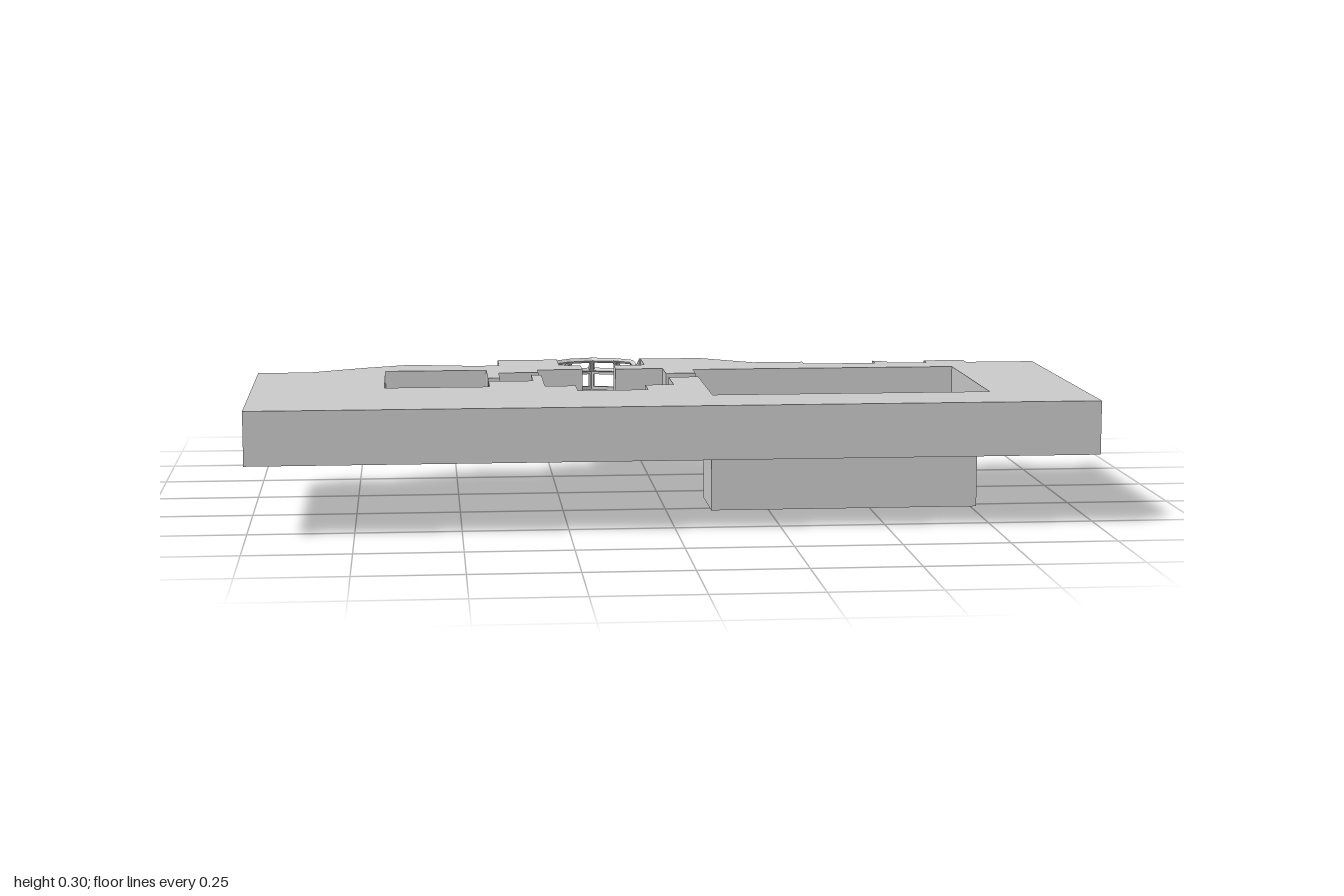
import * as THREE from 'three';

const mat = new THREE.MeshStandardMaterial({ color: 0xcccccc, flatShading: true, side: THREE.DoubleSide });

// ---- plan data, [x, z] ----
// Outer edge of the ground block, from the corridor mouth's left side round to its right side
const outerEdge = [
  [0.02, -0.31], [0.14, -0.31], [0.27, -0.21], [0.4, -0.21], [0.4, -0.17], [0.585, -0.17],
  [0.585, -0.215], [0.62, -0.195], [0.62, -0.17], [0.72, -0.17], [0.72, -0.21], [0.825, -0.21],
  [0.825, -0.17], [1, -0.17], [1, 0.57], [-1, 0.57], [-1, -0.105], [-0.87, -0.105],
  [-0.74, -0.18], [-0.62, -0.235], [-0.46, -0.2], [-0.39, -0.2], [-0.39, -0.31], [-0.27, -0.31],
];
// Walls of the connected rooms, from the corridor mouth and back to it
const roomEdge = [
  [-0.235, -0.31], [-0.235, -0.185], [-0.18, -0.185], [-0.18, -0.105], [-0.295, -0.105],
  [-0.295, -0.055], [-0.395, -0.055], [-0.395, 0.04], [-0.425, 0.04], [-0.425, -0.11],
  [-0.68, -0.11], [-0.68, 0.2], [-0.425, 0.2], [-0.425, 0.1], [-0.315, 0.1], [-0.315, -0.01],
  [-0.29, -0.01], [-0.29, 0.2], [-0.215, 0.2], [-0.215, 0.285], [-0.045, 0.285], [-0.045, 0.2],
  [0.025, 0.2], [0.025, 0.06], [0.1, 0.06], [0.1, 0.39], [0.77, 0.39], [0.77, -0.08],
  [0.1, -0.08], [0.1, -0.01], [0.025, -0.01], [0.025, -0.105], [-0.095, -0.105],
  [-0.095, -0.185], [-0.015, -0.185], [-0.015, -0.31],
];
const BASE = 0.172, FLOOR = 0.183, TOP = 0.3;
const CX = -0.1275; // centre line of the lookout

const rect = (x0, x1, z0, z1) => [[x0, z0], [x1, z0], [x1, z1], [x0, z1]];
const toPoints = (pts) => pts.map(([x, z]) => new THREE.Vector2(x, -z));

function add(group, name, geometry) {
  const mesh = new THREE.Mesh(geometry, mat);
  mesh.name = name;
  group.add(mesh);
  return mesh;
}

// Upright prism over a plan outline
function prism(pts, y0, y1, hole) {
  const shape = new THREE.Shape(toPoints(pts));
  if (hole) shape.holes.push(new THREE.Path(toPoints(hole)));
  const g = new THREE.ExtrudeGeometry(shape, { depth: y1 - y0, bevelEnabled: false });
  return g.rotateX(-Math.PI / 2).translate(0, y0, 0);
}

// Panel between a lower edge (a, b) and an upper edge (c, d), optionally with a window
function panel(a, b, c, d, window) {
  const shape = new THREE.Shape([[0, 0], [1, 0], [1, 1], [0, 1]].map((p) => new THREE.Vector2(...p)));
  if (window) {
    const [u, v] = window;
    shape.holes.push(new THREE.Path(
      [[u, v], [u, 1 - v], [1 - u, 1 - v], [1 - u, v]].map((p) => new THREE.Vector2(...p))));
  }
  const g = new THREE.ExtrudeGeometry(shape, { depth: 1, bevelEnabled: false });
  const [A, B, C, D] = [a, b, c, d].map((p) => new THREE.Vector3(...p));
  const inward = new THREE.Vector3().subVectors(B, A).cross(new THREE.Vector3().subVectors(D, A))
    .normalize().multiplyScalar(-0.011);
  const pos = g.attributes.position;
  const low = new THREE.Vector3(), high = new THREE.Vector3();
  for (let i = 0; i < pos.count; i++) {
    low.lerpVectors(A, B, pos.getX(i));
    high.lerpVectors(D, C, pos.getX(i));
    low.lerp(high, pos.getY(i)).addScaledVector(inward, 1 - pos.getZ(i));
    pos.setXYZ(i, low.x, low.y, low.z);
  }
  g.computeVertexNormals();
  return g;
}

// Sloping wing wall that joins the block to the lookout; side is +1 or -1
function wing(side) {
  const g = new THREE.BoxGeometry(1, 1, 1).toNonIndexed();
  const pos = g.attributes.position;
  for (let i = 0; i < pos.count; i++) {
    const far = pos.getZ(i) < 0;
    const outside = pos.getX(i) * side > 0;
    const reach = outside ? (far ? 0.126 : 0.146) : 0.109;
    const top = far ? 0.275 : TOP;
    pos.setXYZ(i, CX + side * reach, pos.getY(i) > 0 ? top : BASE, far ? -0.39 : -0.31);
  }
  g.computeVertexNormals();
  return g;
}

function buildLookout() {
  const lookout = new THREE.Group();
  lookout.name = 'lookout';

  // Outer plan line, left to right as seen from behind, and the inset line at the rim
  const half = [[0.127, -0.385], [0.127, -0.485], [0.078, -0.545]];
  const halfRim = [[0.109, -0.385], [0.106, -0.475], [0.062, -0.515]];
  const mirror = (h, tip) => [
    ...h.map(([x, z]) => [CX + x, z]), [CX, tip],
    ...h.slice().reverse().map(([x, z]) => [CX - x, z])];
  const wall = mirror(half, -0.572);
  const rim = mirror(halfRim, -0.534);
  const at = ([x, z], y) => [x, y, z];

  // Two rows of panels: upright below, leaning in above; the end panels are solid
  for (let i = 0; i < wall.length - 1; i++) {
    const solid = i === 0 || i === wall.length - 2;
    const p = wall[i], q = wall[i + 1];
    add(lookout, 'lowerWindowFrame', panel(at(p, FLOOR), at(q, FLOOR), at(q, 0.239), at(p, 0.239),
      solid ? null : [0.11, 0.2]));
    add(lookout, 'upperWindowFrame', panel(at(p, 0.239), at(q, 0.239), at(rim[i + 1], 0.276), at(rim[i], 0.276),
      solid ? null : [0.11, 0.16]));
  }
  add(lookout, 'lookoutFloor', prism(wall, FLOOR - 0.001, FLOOR + 0.003));
  add(lookout, 'corridorFloor', prism(rect(CX - 0.126, CX + 0.126, -0.415, -0.31), BASE, FLOOR));
  for (const side of [-1, 1]) add(lookout, 'wingWall', wing(side));
  return lookout;
}

function buildPool() {
  const pool = new THREE.Group();
  pool.name = 'lowerHall';
  const t = 0.004;
  add(pool, 'lowerHallWalls', prism(rect(0.11, 0.765, 0.1, 0.28), 0, BASE,
    rect(0.11 + t, 0.765 - t, 0.1 + t, 0.28 - t)));
  add(pool, 'lowerHallFloor', prism(rect(0.112, 0.763, 0.102, 0.278), 0, t));

  // Low balustrade along the open edge of the upper floor
  const rail = add(pool, 'balconyRail', new THREE.BoxGeometry(0.65, 0.003, 0.004));
  rail.position.set(0.4375, 0.2, 0.128);
  const post = new THREE.BoxGeometry(0.004, 0.016, 0.004);
  const count = 33;
  for (let i = 0; i < count; i++) {
    const mesh = add(pool, 'balconyPost', post);
    mesh.position.set(0.115 + (0.645 * i) / (count - 1), 0.191, 0.128);
  }
  return pool;
}

export function createModel() {
  const model = new THREE.Group();
  model.name = 'sunkenRooms';

  // Ground block with the rooms cut out, over one floor plate with the opening to the lower hall
  add(model, 'groundBlock', prism([...outerEdge, ...roomEdge], FLOOR, TOP));
  add(model, 'floorPlate', prism(outerEdge, BASE, FLOOR, rect(0.114, 0.761, 0.13, 0.276)));
  model.add(buildPool(), buildLookout());
  return model;
}
